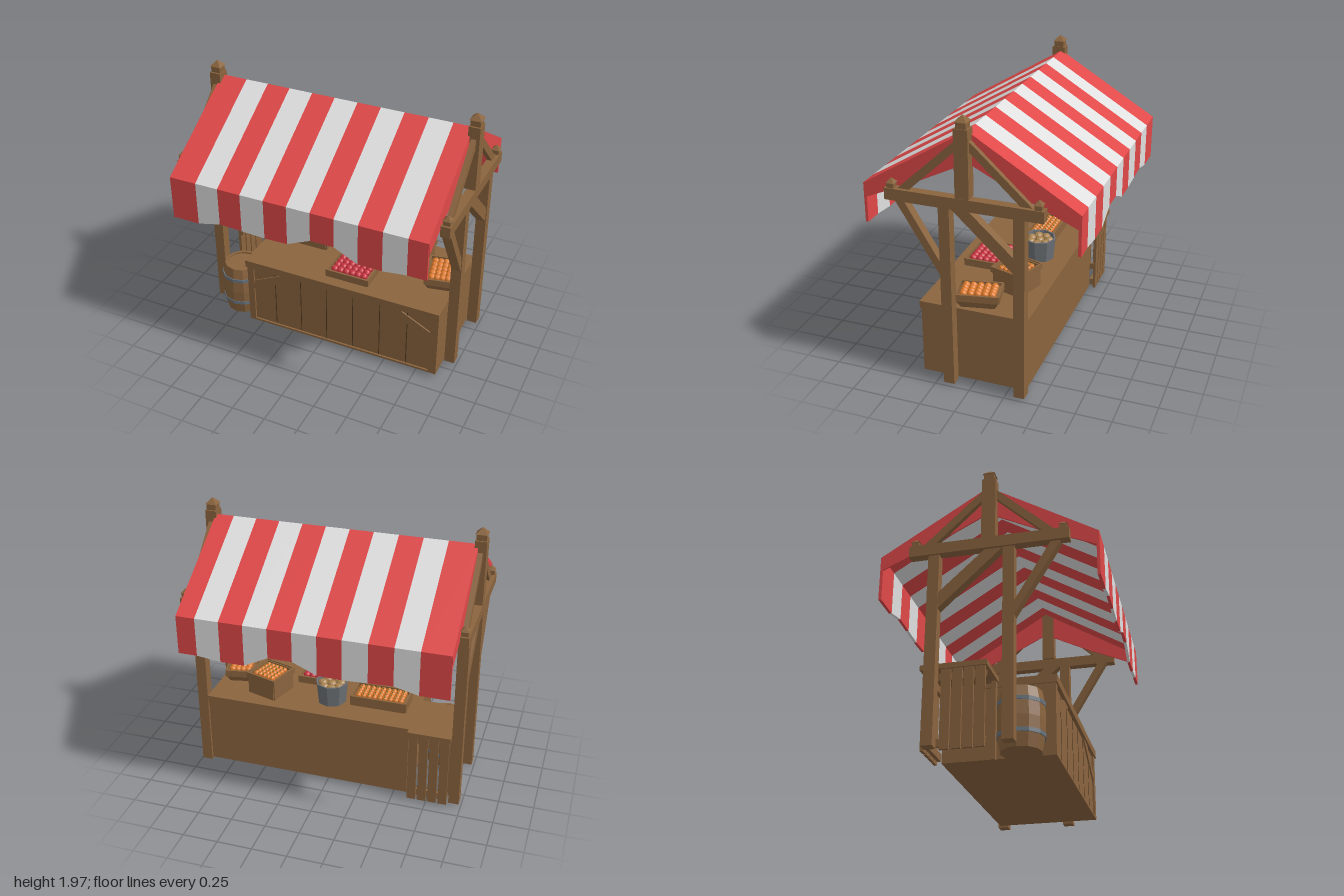
import * as THREE from 'three';

const mat = (name, color) => Object.assign(new THREE.MeshStandardMaterial({ color, flatShading: true }), { name });

export function createModel() {
  const root = new THREE.Group();
  root.name = 'marketStall';
  const wood = mat('wood', 0x8a643e), seam = mat('dark seam', 0x4f3922);
  const red = mat('red cloth', 0xe04848), white = mat('white cloth', 0xdfdfdf);
  const metal = mat('bucket metal', 0x6c7074), hoop = mat('hoop steel', 0x66727c);
  const orange = mat('orange produce', 0xdd7a2c), green = mat('leaf green', 0x5f7a38);
  const apple = mat('apple red', 0xc6323f), potato = mat('potato tan', 0xa8824f);

  const add = (name, geo, m, x = 0, y = 0, z = 0, parent = root) => {
    const mesh = new THREE.Mesh(geo, m);
    mesh.name = name;
    mesh.position.set(x, y, z);
    parent.add(mesh);
    return mesh;
  };
  // box given by its limits on each axis
  const box = (name, m, [x0, x1], [y0, y1], [z0, z1], parent = root) =>
    add(name, new THREE.BoxGeometry(x1 - x0, y1 - y0, z1 - z0), m,
      (x0 + x1) / 2, (y0 + y1) / 2, (z0 + z1) / 2, parent);
  const extrude = (pts, depth) => new THREE.ExtrudeGeometry(
    new THREE.Shape(pts.map(p => new THREE.Vector2(...p))), { depth, bevelEnabled: false });
  // (z, y) outline swept from x0 to x1
  const prism = (name, m, pts, x0, x1) =>
    add(name, extrude(pts.map(([z, y]) => [-z, y]), x1 - x0).rotateY(Math.PI / 2), m, x0);
  // (x, y) outline swept from z0 to z1
  const plate = (name, m, pts, z0, z1) => add(name, extrude(pts, z1 - z0), m, 0, 0, z0);
  const cap = (name, x, y, z, w, h) => {
    box(name + 'Block', wood, [x - w * 0.42, x + w * 0.42], [y, y + h * 0.5], [z - w * 0.42, z + w * 0.42]);
    add(name, new THREE.CylinderGeometry(0, w * 0.707, h * 0.5, 4).rotateY(Math.PI / 4), wood, x, y + h * 0.75, z);
  };

  // timber frames at both ends
  for (const s of [-1, 1]) {
    const span = (a, b) => (s > 0 ? [a, b] : [-b, -a]);
    box('frontPost', wood, span(0.91, 0.985), [0.015, 1.34], [0.115, 0.19]);
    box('backPost', wood, span(0.91, 0.985), [0.015, 1.34], [-0.39, -0.315]);
    box('crossBeam', wood, span(0.935, 1), [1.34, 1.42], [-0.52, 0.555]);
    box('kingPost', wood, span(0.918, 0.998), [1.42, 1.88], [-0.03, 0.065]);
    cap('kingPostCap', s * 0.958, 1.88, 0.017, 0.082, 0.085);
    for (const z of [-0.48, 0.515]) cap('beamFinial', s * 0.968, 1.42, z, 0.058, 0.065);
    prism('frontBrace', wood, [[0.495, 1.34], [0.43, 1.34], [0.19, 0.94], [0.19, 0.84]], ...span(0.915, 0.98));
    prism('backBrace', wood, [[0.11, 1.34], [-0.01, 1.34], [-0.315, 1.06], [-0.315, 0.945]], ...span(0.915, 0.98));
    prism('frontRafter', wood, [[0.47, 1.42], [0.39, 1.42], [0.06, 1.73], [0.06, 1.8]], ...span(0.94, 0.975));
    prism('backRafter', wood, [[-0.44, 1.42], [-0.36, 1.42], [-0.03, 1.73], [-0.03, 1.8]], ...span(0.94, 0.975));
  }

  // striped canopy: sloping cloth and hanging hems
  const xs = [-0.94, -0.74, -0.57, -0.4, -0.225, -0.055, 0.115, 0.285, 0.455, 0.625, 0.795, 0.93];
  const hem = [1.08, 1.08, 1.12, 1.113, 1.105, 1.11, 1.185, 1.185, 1.1, 1.1, 1.12, 1.12];
  for (const s of [-1, 1]) {
    for (let i = 0; i < 11; i++) {
      const m = i % 2 ? white : red;
      prism('canopyStripe', m,
        [[0, 1.85], [s * 0.74, 1.4], [s * 0.72, 1.39], [0, 1.83]], xs[i], xs[i + 1]);
      plate('canopyHem', m, [[xs[i], hem[i]], [xs[i + 1], hem[i + 1]], [xs[i + 1], 1.4], [xs[i], 1.4]],
        s > 0 ? 0.72 : -0.74, s > 0 ? 0.74 : -0.72);
    }
    for (const x of [-0.941, 0.921]) {
      prism('canopyEndFlap', red,
        [[0, 1.849], [s * 0.739, 1.399], [s * 0.725, 1.3], [s * 0.35, 1.465], [0, 1.64]], x, x + 0.01);
    }
  }

  // counter with framed plank front
  box('counterBody', wood, [-0.6, 0.908], [0.03, 0.52], [-0.375, 0.36]);
  box('counterTop', wood, [-0.61, 0.912], [0.52, 0.575], [-0.385, 0.385]);
  box('frontStile', wood, [-0.6, -0.55], [0.03, 0.52], [0.36, 0.374]);
  box('frontStile', wood, [0.85, 0.908], [0.03, 0.52], [0.36, 0.374]);
  box('bottomRail', wood, [-0.55, 0.85], [0.03, 0.045], [0.36, 0.374]);
  for (const x of [-0.375, -0.165, 0.043, 0.253, 0.463, 0.673]) {
    box('plankSeam', seam, [x - 0.003, x + 0.003], [0.045, 0.52], [0.357, 0.362]);
  }
  plate('leftCornerBrace', wood, [[-0.55, 0.33], [-0.375, 0.41], [-0.15, 0.52], [-0.3, 0.52], [-0.55, 0.4]], 0.36, 0.371);
  plate('rightCornerBrace', wood, [[0.85, 0.32], [0.85, 0.39], [0.6, 0.52], [0.45, 0.52]], 0.36, 0.371);

  // slatted side table
  box('sideTableTop', wood, [-0.91, -0.605], [0.55, 0.585], [-0.44, 0]);
  for (let i = 0; i < 4; i++) {
    const x = -0.9 + i * 0.075;
    box('tableBackSlat', wood, [x, x + 0.062], [0.015, 0.55], [-0.42, -0.4]);
  }
  for (let i = 0; i < 4; i++) {
    const z = -0.3 + i * 0.075;
    box('tableSideSlat', wood, [-0.9, -0.88], [0.015, 0.55], [z, z + 0.062]);
  }
  for (const y of [0.04, 0.48]) {
    box('tableBackRail', wood, [-0.9, -0.61], [y, y + 0.05], [-0.4, -0.375]);
    box('tableSideRail', wood, [-0.88, -0.86], [y, y + 0.05], [-0.39, -0.01]);
  }
  box('tableFrontLeg', wood, [-0.65, -0.61], [0.015, 0.55], [-0.04, -0.01]);

  // barrel
  const lathe = (pts, n) => new THREE.LatheGeometry(pts.map(p => new THREE.Vector2(...p)), n);
  add('barrel', lathe([[0, 0], [0.133, 0], [0.152, 0.1], [0.157, 0.2], [0.152, 0.31], [0.133, 0.4],
    [0.115, 0.4], [0.115, 0.385], [0, 0.385]], 12), wood, -0.758, 0, 0.185);
  for (const y of [0.09, 0.295]) {
    add('barrelHoop', new THREE.CylinderGeometry(0.157, 0.157, 0.026, 12, 1), hoop, -0.758, y + 0.013, 0.185);
  }

  // open crate with produce laid in a grid
  const crate = (name, x, z, w, d, h, turn, fill, nx, nz, r, leafy) => {
    const g = new THREE.Group();
    g.name = name;
    g.position.set(x, 0.575, z);
    g.rotation.y = turn;
    root.add(g);
    const t = 0.015;
    box('crateFloor', wood, [-w / 2, w / 2], [0, h * 0.55], [-d / 2 + t, d / 2 - t], g);
    for (const s of [-1, 1]) {
      box('crateLongSide', wood, [-w / 2, w / 2], [0, h], [s * d / 2 - t / 2, s * d / 2 + t / 2], g);
      box('crateEnd', wood, [s * w / 2 - t / 2, s * w / 2 + t / 2], [0, h], [-d / 2, d / 2], g);
    }
    for (let i = 0; i < nx; i++) for (let j = 0; j < nz; j++) {
      const px = ((i + 0.5) / nx - 0.5) * (w - 3 * t), pz = ((j + 0.5) / nz - 0.5) * (d - 3 * t);
      add('produce', new THREE.IcosahedronGeometry(r, 1), fill, px, h - r * 0.45, pz, g);
      if (leafy) add('leafTuft', new THREE.ConeGeometry(r * 0.3, r * 0.6, 4), green, px, h + r * 0.6, pz - r * 0.35, g);
    }
    return g;
  };
  crate('longCrate', -0.328, -0.09, 0.4, 0.2, 0.075, 0, orange, 9, 4, 0.022, true);
  crate('appleCrate', 0.175, 0.15, 0.32, 0.29, 0.055, 0, apple, 6, 5, 0.027, false);
  const tall = crate('tallCrate', 0.5, -0.16, 0.225, 0.225, 0.16, -0.3, orange, 5, 5, 0.022, true);
  for (const s of [-1, 1]) {
    box('tallCrateRim', wood, [-0.125, 0.125], [0.125, 0.168], [s * 0.122 - 0.006, s * 0.122 + 0.006], tall);
    box('tallCrateRim', wood, [s * 0.122 - 0.006, s * 0.122 + 0.006], [0.125, 0.168], [-0.125, 0.125], tall);
  }
  // shallow tray on a tapered base
  const tray = crate('splayedTray', 0.785, 0, 0.2, 0.29, 0.05, 0.2, orange, 4, 5, 0.026, false);
  tray.position.y = 0.628;
  const base = new THREE.CylinderGeometry(0.707, 0.56, 0.053, 4).rotateY(Math.PI / 4).scale(0.2, 1, 0.29);
  add('trayBase', base, wood, 0, -0.0265, 0, tray);

  // bucket of potatoes
  add('bucket', lathe([[0, 0], [0.105, 0], [0.12, 0.16], [0.108, 0.16], [0.104, 0.125], [0, 0.125]], 8),
    metal, 0.025, 0.575, -0.165);
  for (let i = 0; i < 8; i++) {
    const a = i * Math.PI * 2 / 7, r = i < 7 ? 0.068 : 0;
    add('potato', new THREE.IcosahedronGeometry(0.032, 1).scale(1.15, 0.8, 1), potato,
      0.025 + r * Math.cos(a), 0.71, -0.165 + r * Math.sin(a));
  }
  return root;
}
